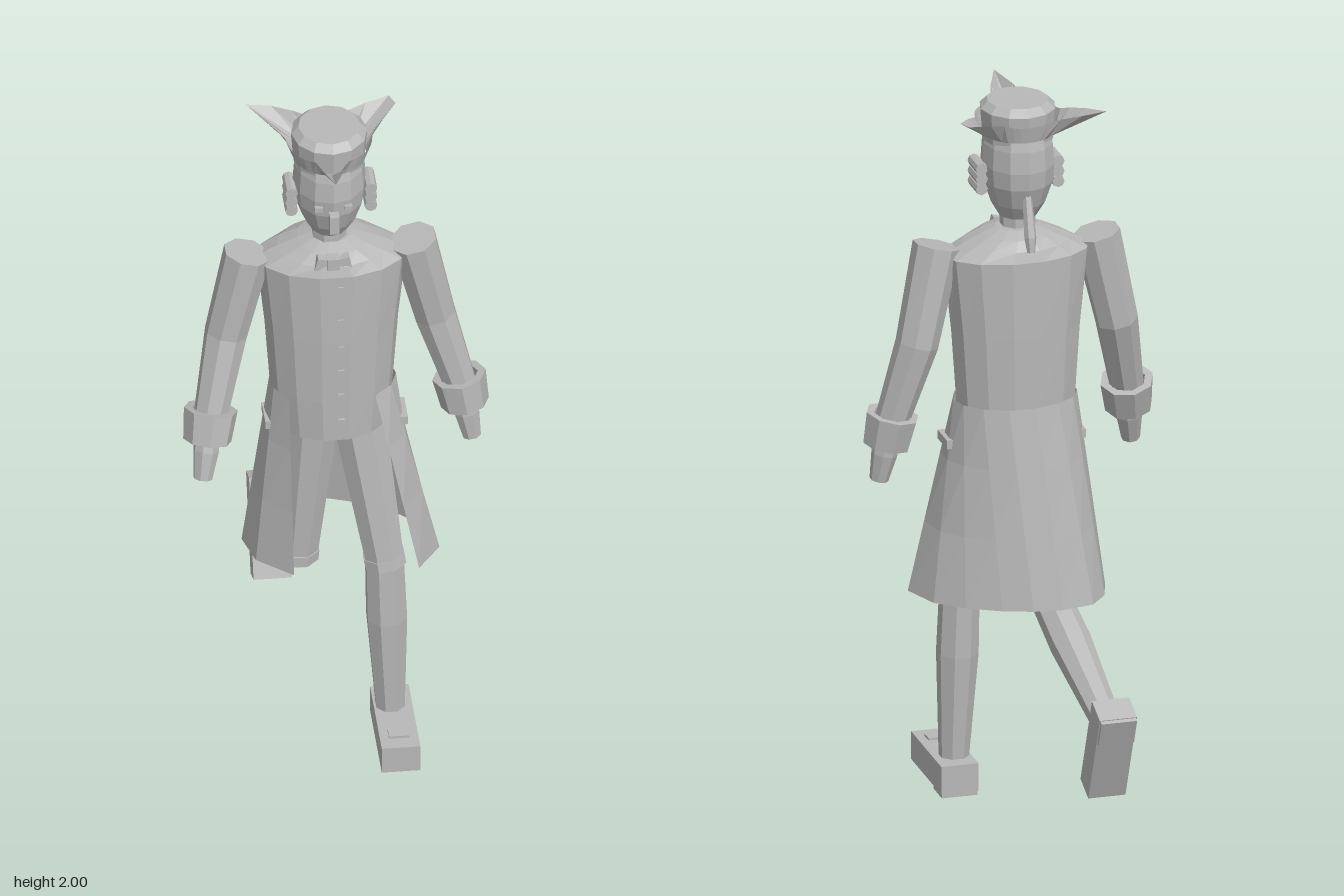
import * as THREE from 'three';

const grey = new THREE.MeshStandardMaterial({ color: 0xb8b8b8, flatShading: true, side: THREE.DoubleSide });
grey.name = 'plain grey';
const V = (x, y, z) => new THREE.Vector3(x, y, z);
const TAU = Math.PI * 2;

// Joins rings of points, listed from bottom to top, into a faceted surface.
function loft(rings, closed = true) {
  const n = rings[0].length, pos = [];
  const tri = (...pts) => pts.forEach((p) => pos.push(p.x, p.y, p.z));
  for (let i = 0; i < rings.length - 1; i++) {
    for (let j = 0; j < (closed ? n : n - 1); j++) {
      const k = (j + 1) % n, a = rings[i], b = rings[i + 1];
      tri(a[j], a[k], b[k]);
      tri(a[j], b[k], b[j]);
    }
  }
  if (closed) {
    [rings[0], rings[rings.length - 1]].forEach((r, end) => {
      const c = r.reduce((s, p) => s.add(p), V(0, 0, 0)).divideScalar(n);
      for (let j = 0; j < n; j++) {
        const p = r[j], q = r[(j + 1) % n];
        end ? tri(c, p, q) : tri(c, q, p);
      }
    });
  }
  const g = new THREE.BufferGeometry();
  g.setAttribute('position', new THREE.Float32BufferAttribute(pos, 3));
  g.computeVertexNormals();
  return g;
}

// Horizontal ellipse of points, starting at the front.
const ellipse = (y, rx, rz, cx, cz, n) => Array.from({ length: n }, (_, i) => {
  const a = ((i + 0.5) / n) * TAU;
  return V(cx + rx * Math.sin(a), y, cz + rz * Math.cos(a));
});

// Mitred eight-sided limb through points given from the lower end up.
function limbGeometry(points, radii, n = 8) {
  return loft(points.map((p, i) => {
    const dir = points[Math.min(i + 1, points.length - 1)].clone()
      .sub(points[Math.max(i - 1, 0)]).normalize();
    const q = new THREE.Quaternion().setFromUnitVectors(V(0, 1, 0), dir);
    return ellipse(0, radii[i], radii[i], 0, 0, n).map((v) => v.applyQuaternion(q).add(p));
  }));
}

export function createModel() {
  const model = new THREE.Group();
  model.name = 'walkingMan';
  const add = (name, geo, parent = model) => {
    const m = new THREE.Mesh(geo, grey);
    m.name = name;
    parent.add(m);
    return m;
  };
  const box = (name, w, h, d, x, y, z, parent) => {
    const m = add(name, new THREE.BoxGeometry(w, h, d), parent);
    m.position.set(x, y, z);
    return m;
  };
  const lathe = (name, pts, n, x = 0, z = 0, parent = model) => {
    const m = add(name, new THREE.LatheGeometry(pts.map((p) => new THREE.Vector2(...p)), n), parent);
    m.position.set(x, 0, z);
    return m;
  };
  const limb = (name, pts, radii, n) => add(name, limbGeometry(pts, radii, n));
  const hx = -0.015, hz = 0.167;

  // Head, face and hair
  lathe('head', [[0, 1.665], [0.052, 1.67], [0.075, 1.71], [0.095, 1.77], [0.1, 1.82], [0.096, 1.88], [0.085, 1.93]], 12, hx, hz).scale.z = 1.17;
  limb('neck', [V(hx, 1.6, hz), V(hx, 1.69, hz)], [0.049, 0.049]);
  box('nose', 0.026, 0.055, 0.04, hx, 1.762, 0.288);
  for (const s of [-1, 1]) {
    box('eye', 0.022, 0.014, 0.03, hx + s * 0.04, 1.798, 0.265);
    for (const y of [1.815, 1.786, 1.757]) {
      const curl = add('hairCurl', new THREE.CylinderGeometry(0.017, 0.017, 0.08, 8));
      curl.rotation.x = Math.PI / 2;
      curl.position.set(hx + s * 0.108, y, 0.18);
    }
  }
  limb('pigtail', [V(hx, 1.6, 0.037), V(hx, 1.64, 0.045), V(hx, 1.75, 0.075)], [0.011, 0.017, 0.013], 6);

  // Three-cornered hat: crown and a brim pulled out into three points
  lathe('hatCrown', [[0.097, 1.89], [0.104, 1.98], [0.084, 2], [0, 2]], 12, hx, hz).scale.z = 1.06;
  const inner = [], outer = [], corners = [-0.04, 2.15, TAU - 2.15];
  for (let i = 0; i <= 36; i++) {
    const a = (i / 36) * TAU - 0.04;
    let pull = 0;
    corners.forEach((c, k) => {
      const d = Math.abs(Math.atan2(Math.sin(a - c), Math.cos(a - c)));
      pull = Math.max(pull, 1 - d / (k ? 0.62 : 0.5));
    });
    const r = 0.117 + 0.14 * pull ** 2, y = 1.955 + 0.033 * pull;
    inner.push(V(hx + 0.1 * Math.sin(a), 1.908, hz + 0.106 * Math.cos(a)));
    outer.push(V(hx + r * Math.sin(a), y, hz + r * Math.cos(a)));
  }
  add('hatBrim', loft([inner, outer], false));

  // Coat body, rings as [height, half width, half depth]
  add('coatBody', loft([[1.02, 0.155, 0.122], [1.15, 0.168, 0.125], [1.35, 0.182, 0.128], [1.57, 0.205, 0.128],
    [1.6, 0.15, 0.118], [1.625, 0.095, 0.098], [1.64, 0.055, 0.055]]
    .map(([y, rx, rz]) => ellipse(y, rx, rz, -0.008, 0.16, 14))));

  // Coat skirt, open at the front; hem runs from left flap round the back
  const hem = [[0.21, 0.345], [0.28, 0.215], [0.24, 0.105], [0.17, 0.04], [0.08, -0.01], [0, -0.038], [-0.08, -0.048],
    [-0.17, -0.03], [-0.22, 0.03], [-0.248, 0.12], [-0.22, 0.22], [-0.125, 0.3]];
  const skirt = [0, 0.35, 0.7, 1].map((t) => hem.map(([x, z], i) => {
    const a = 0.66 + (i / (hem.length - 1)) * (TAU - 1.5);
    const low = V(x, i ? 0.59 : 0.62, z);
    return low.lerp(V(-0.005 + 0.172 * Math.sin(a), 1.15, 0.16 + 0.13 * Math.cos(a)), t);
  }));
  add('coatSkirt', loft(skirt, false));
  box('pocketFlap', 0.02, 0.025, 0.09, 0.183, 1.03, 0.18);
  box('pocketFlap', 0.02, 0.025, 0.09, -0.183, 1.03, 0.16);
  for (const y of [1.085, 1.17, 1.25, 1.33, 1.42, 1.53]) box('button', 0.018, 0.018, 0.016, 0.005, y, 0.281);

  // Cravat: knot and two spread tails
  box('cravatKnot', 0.035, 0.035, 0.04, hx, 1.61, 0.26);
  for (const s of [-1, 1]) box('cravatBow', 0.045, 0.04, 0.025, hx + s * 0.025, 1.605, 0.262).rotation.z = s * 0.25;

  // Arms: shoulder, elbow, wrist and fingertip of each side
  const arms = [
    ['left', V(0.213, 1.6, 0.168), V(0.275, 1.33, 0.145), V(0.345, 1.09, 0.166), V(0.372, 0.935, 0.18)],
    ['right', V(-0.238, 1.59, 0.168), V(-0.297, 1.33, 0.175), V(-0.35, 1.09, 0.25), V(-0.373, 0.935, 0.297)],
  ];
  for (const [side, shoulder, elbow, wrist, tip] of arms) {
    limb(side + 'Sleeve', [wrist, elbow, shoulder], [0.046, 0.059, 0.066]);
    const cuff = lathe(side + 'Cuff', [[0.046, -0.045], [0.066, -0.045], [0.074, 0.045], [0.052, 0.045], [0.046, -0.045]], 8);
    cuff.position.copy(wrist.clone().lerp(tip, 0.05));
    cuff.quaternion.setFromUnitVectors(V(0, 1, 0), wrist.clone().sub(tip).normalize());
    limb(side + 'Hand', [tip, wrist.clone().lerp(tip, 0.5), wrist], [0.026, 0.036, 0.032]);
  }

  // Legs: breeches, knee band and stocking
  const legs = [
    ['left', V(0.055, 1.08, 0.165), V(0.128, 0.58, 0.235), V(0.143, 0.08, 0.24)],
    ['right', V(-0.06, 1.08, 0.165), V(-0.098, 0.56, 0.145), V(-0.122, 0.36, -0.315)],
  ];
  for (const [side, hip, knee, ankle] of legs) {
    limb(side + 'Breeches', [knee, hip], [0.056, 0.08]);
    limb(side + 'KneeBand', [knee.clone().lerp(hip, -0.03), knee.clone().lerp(hip, 0.03)], [0.06, 0.06]);
    limb(side + 'Stocking', [ankle, ankle.clone().lerp(knee, 0.62), knee], [0.041, 0.058, 0.055]);
  }

  // Shoes with heel and buckle
  const shoe = (name, x, y, z, tilt) => {
    const g = new THREE.Group();
    g.name = name;
    g.position.set(x, y, z);
    g.rotation.x = tilt;
    box('shoeBody', 0.105, 0.08, 0.285, 0, 0, 0, g);
    box('heel', 0.1, 0.02, 0.08, 0, -0.042, -0.1, g);
    box('buckle', 0.056, 0.012, 0.038, 0, 0.041, 0.08, g);
    model.add(g);
  };
  shoe('leftShoe', 0.15, 0.052, 0.3, 0);
  shoe('rightShoe', -0.122, 0.292, -0.337, 1.18);

  return model;
}
